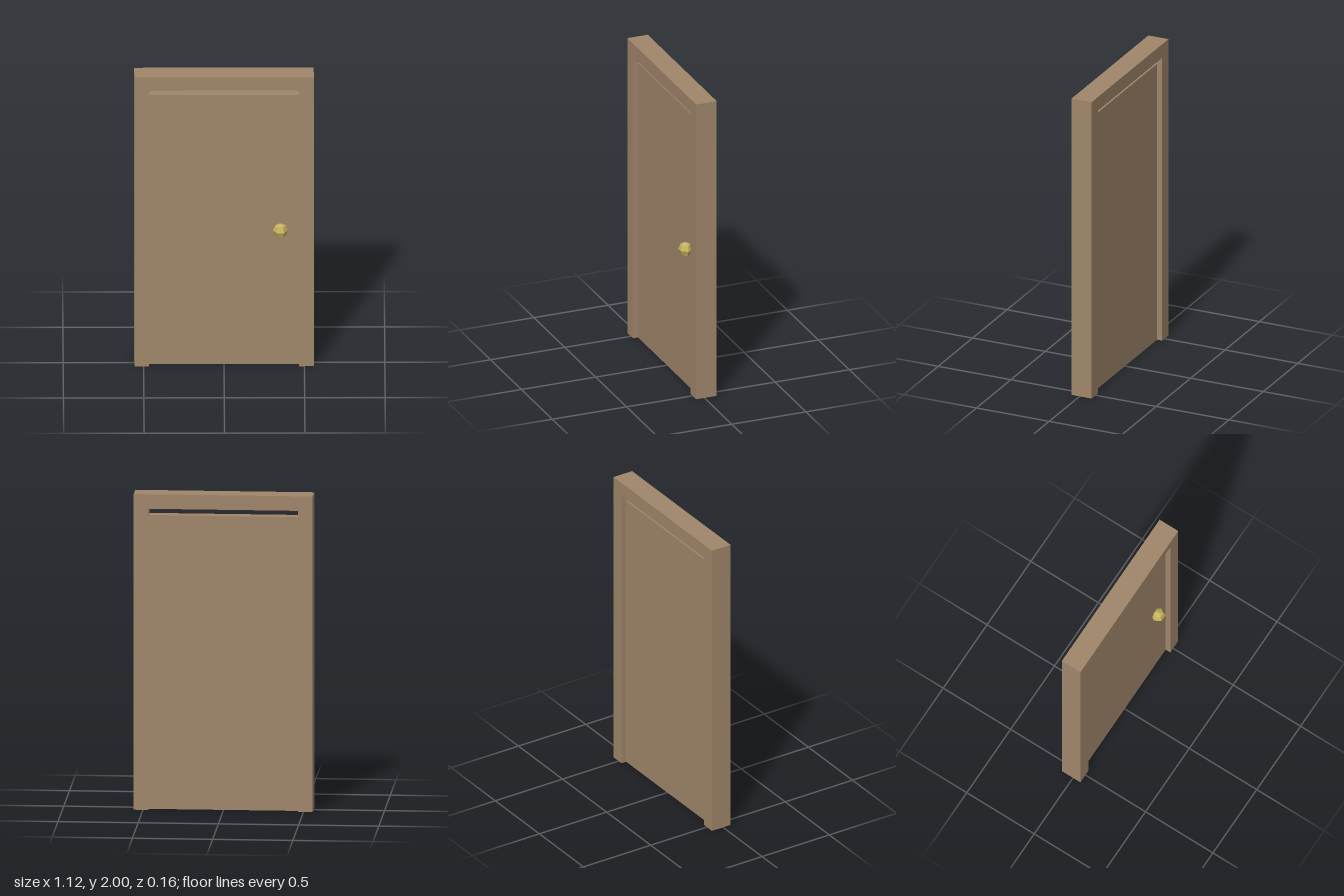
import * as THREE from 'three';

const W = 0.558, H = 2;            // frame half width and height
const OPEN_W = 0.467, OPEN_H = 1.908; // doorway half width and height
const BACK = -0.083, DEPTH = 0.138;
const MID_Z = BACK + DEPTH / 2;

export function createModel() {
  const model = new THREE.Group();
  model.name = 'door';

  const wood = new THREE.MeshStandardMaterial({ color: 0xa1876b, flatShading: true });
  wood.name = 'brown wood';
  const brass = new THREE.MeshStandardMaterial({ color: 0xc8b45f, flatShading: true });
  brass.name = 'brass';

  const add = (name, geometry, material, x, y, z) => {
    const mesh = new THREE.Mesh(geometry, material);
    mesh.name = name;
    mesh.position.set(x, y, z);
    model.add(mesh);
  };

  // Frame: two posts and a lintel in one piece, open at the floor
  const outline = new THREE.Shape([
    [-W, 0], [-OPEN_W, 0], [-OPEN_W, OPEN_H], [OPEN_W, OPEN_H],
    [OPEN_W, 0], [W, 0], [W, H], [-W, H],
  ].map(([x, y]) => new THREE.Vector2(x, y)));
  add('frame', new THREE.ExtrudeGeometry(outline, { depth: DEPTH, bevelEnabled: false }), wood, 0, 0, BACK);

  // Door leaf, recessed on both sides, with a gap under the lintel
  const leafH = 1.862;
  add('doorLeaf', new THREE.BoxGeometry(OPEN_W * 2, leafH, 0.069), wood, 0, leafH / 2, MID_Z);

  // Faceted knob, half sunk into the front of the leaf
  add('knob', new THREE.SphereGeometry(0.047, 6, 4), brass, 0.351, 0.933, 0.04);

  return model;
}
